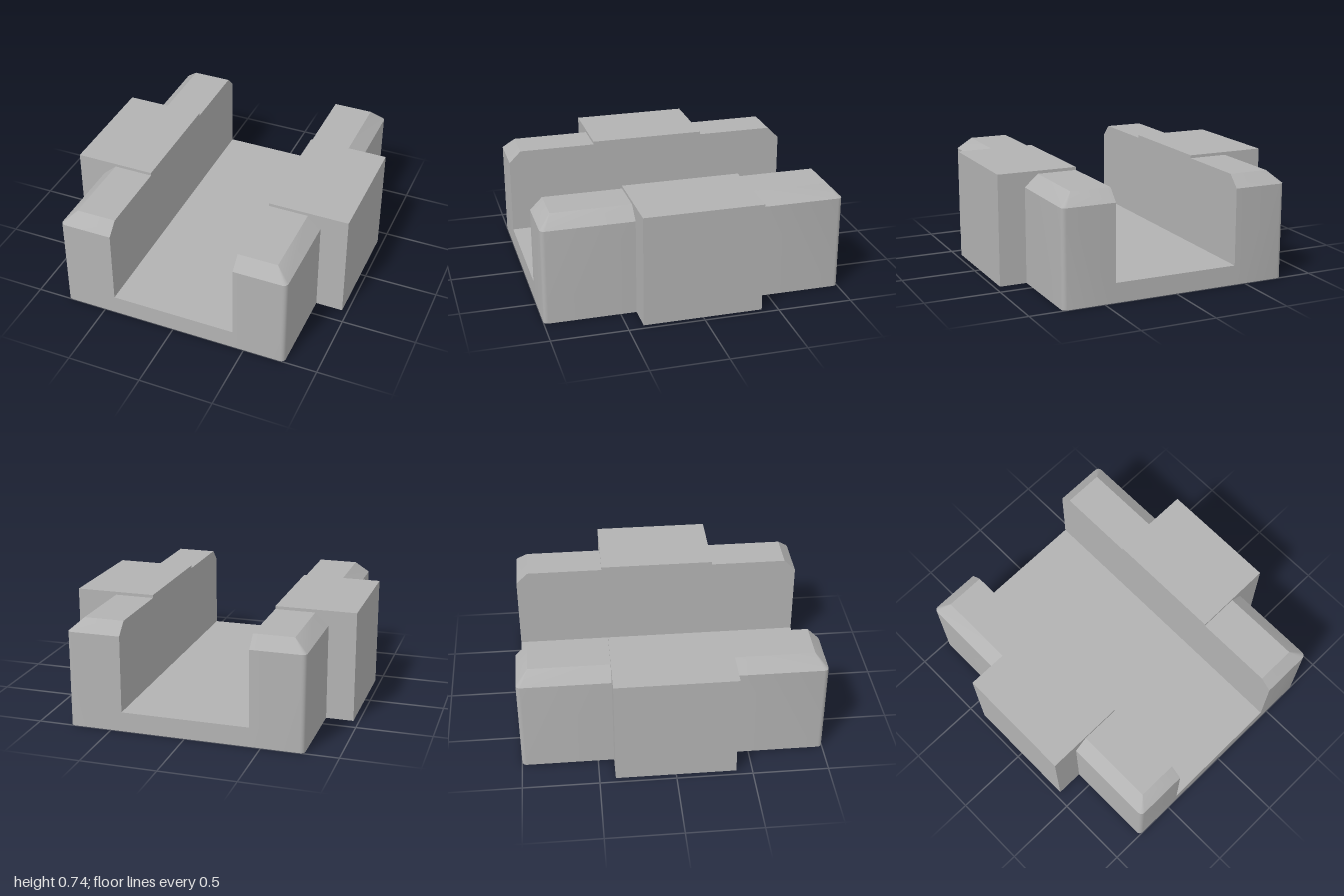
import * as THREE from 'three';
import { toCreasedNormals } from 'three/addons/utils/BufferGeometryUtils.js';

const INNER = 0.424, OUTER = 0.78, SIDE = 0.963, MID = 0.395, END = 1;
const FLOOR_Y = 0.13, SHOULDER_Y = 0.64, RAIL_Y = 0.72, BLOCK_Y = 0.74;

// Rail end with a rounded outer corner and chamfered top, mirrored by sx and sz
function railEndGeometry(sx, sz) {
  const r = 0.03, steps = 4, topX = 0.69, topZ = 0.92;
  const base = [[INNER, MID], [OUTER, MID]];
  const top = [[INNER, MID], [topX, MID]];
  for (let i = 0; i <= steps; i++) {
    const a = (i / steps) * Math.PI / 2;
    base.push([OUTER - r + r * Math.cos(a), END - r + r * Math.sin(a)]);
    top.push([topX, topZ]);
  }
  base.push([INNER, END]);
  top.push([INNER, topZ]);

  const ring = (pts, y) => pts.map(([x, z]) => new THREE.Vector3(x * sx, y, z * sz));
  const rings = [ring(base, 0), ring(base, SHOULDER_Y), ring(top, RAIL_Y)];
  const pos = [];
  const tri = (a, b, c) => {
    if (a.equals(b) || b.equals(c) || c.equals(a)) return;
    const order = sx * sz > 0 ? [a, b, c] : [a, c, b];
    order.forEach((p) => pos.push(p.x, p.y, p.z));
  };
  const n = base.length;
  // Walls and chamfers
  for (let k = 0; k < 2; k++) {
    const lo = rings[k], hi = rings[k + 1];
    for (let i = 0; i < n; i++) {
      const j = (i + 1) % n;
      tri(lo[i], hi[i], lo[j]);
      tri(lo[j], hi[i], hi[j]);
    }
  }
  // Underside and top
  for (let i = 1; i < n - 1; i++) {
    tri(rings[0][0], rings[0][i], rings[0][i + 1]);
    tri(rings[2][0], rings[2][i + 1], rings[2][i]);
  }
  const geo = new THREE.BufferGeometry();
  geo.setAttribute('position', new THREE.Float32BufferAttribute(pos, 3));
  return toCreasedNormals(geo, 0.5);
}

export function createModel() {
  const group = new THREE.Group();
  const grey = new THREE.MeshStandardMaterial({ color: 0xb2b2b2 });
  grey.name = 'grey';

  const add = (name, geo, x = 0, y = 0) => {
    const mesh = new THREE.Mesh(geo, grey);
    mesh.name = name;
    mesh.position.set(x, y, 0);
    group.add(mesh);
  };

  // Floor of the open channel
  add('channelFloor', new THREE.BoxGeometry(INNER * 2, FLOOR_Y, END * 2), 0, FLOOR_Y / 2);

  for (const sx of [-1, 1]) {
    const side = sx > 0 ? 'left' : 'right';
    // Wide block at the middle of each wall
    add(side + 'SideBlock', new THREE.BoxGeometry(SIDE - INNER, BLOCK_Y, MID * 2),
      sx * (INNER + SIDE) / 2, BLOCK_Y / 2);
    // Narrower chamfered wall ends
    for (const sz of [-1, 1]) {
      add(side + (sz > 0 ? 'Front' : 'Back') + 'RailEnd', railEndGeometry(sx, sz));
    }
  }
  return group;
}
